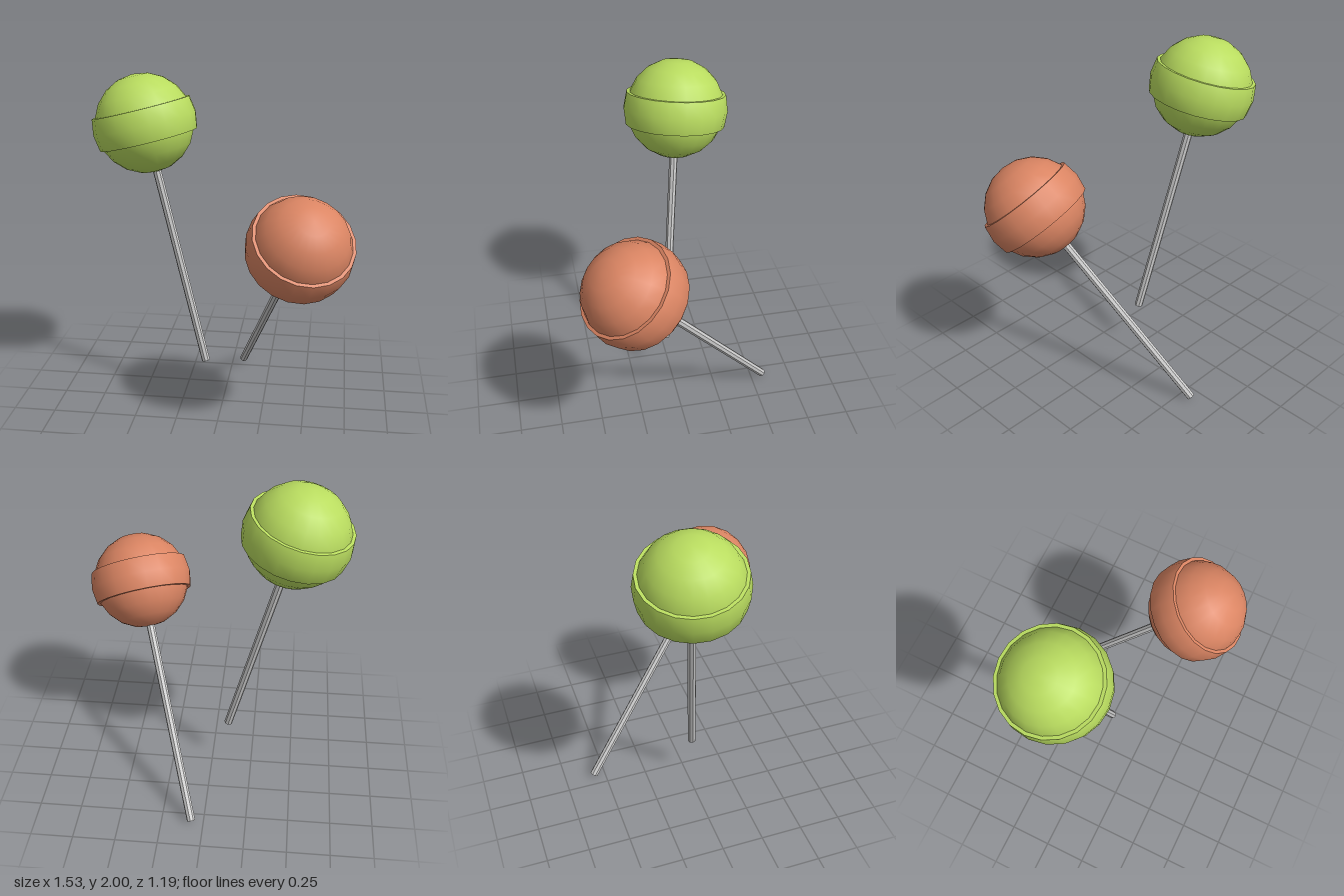
import * as THREE from 'three';

const SEGMENTS = 20;
const BALL_RADIUS = 0.287;
const BAND_RADIUS = 0.304;
const BAND_ANGLE = Math.PI / 10; // the band reaches this far above and below the equator
const STICK_LENGTH = 1.475; // from the ball's centre to the free end
const STICK_RADIUS = 0.025;

// Flat ring joining the ball to one rim of the band
function makeRim(material, side) {
  const rim = new THREE.Mesh(
    new THREE.RingGeometry(
      (BALL_RADIUS - 0.004) * Math.cos(BAND_ANGLE),
      BAND_RADIUS * Math.cos(BAND_ANGLE), SEGMENTS),
    material);
  rim.rotation.x = -side * Math.PI / 2;
  rim.position.y = side * BAND_RADIUS * Math.sin(BAND_ANGLE);
  rim.name = side > 0 ? 'upperBandRim' : 'lowerBandRim';
  return rim;
}

// A ball with a raised band on a stick, pointing from the stick's end to the ball
function makeLollipop(name, color, centre, stickEnd) {
  const lollipop = new THREE.Group();
  lollipop.name = name;
  const candy = new THREE.MeshStandardMaterial({ color });
  const grey = new THREE.MeshStandardMaterial({ color: 0xcccccc, flatShading: true });

  const ball = new THREE.Mesh(new THREE.SphereGeometry(BALL_RADIUS, SEGMENTS, 10), candy);
  ball.name = 'candyBall';

  // Band: a slice of a slightly larger sphere
  const band = new THREE.Mesh(
    new THREE.SphereGeometry(BAND_RADIUS, SEGMENTS, 2, 0, Math.PI * 2,
      Math.PI / 2 - BAND_ANGLE, BAND_ANGLE * 2),
    candy);
  band.name = 'candyBand';

  // Stick: starts just inside the ball
  const top = -BALL_RADIUS + 0.03;
  const length = STICK_LENGTH + top;
  const stick = new THREE.Mesh(
    new THREE.CylinderGeometry(STICK_RADIUS, STICK_RADIUS, length, 8), grey);
  stick.position.y = top - length / 2;
  stick.name = 'stick';

  lollipop.add(ball, band, makeRim(candy, 1), makeRim(candy, -1), stick);
  lollipop.position.copy(centre);
  const axis = centre.clone().sub(stickEnd).normalize();
  lollipop.quaternion.setFromUnitVectors(new THREE.Vector3(0, 1, 0), axis);
  return lollipop;
}

export function createModel() {
  const model = new THREE.Group();
  model.name = 'lollipops';
  model.add(
    makeLollipop('greenLollipop', 0xb9dc5f,
      new THREE.Vector3(-0.466, 1.715, -0.107), new THREE.Vector3(-0.1, 0.295, 0.03)),
    makeLollipop('orangeLollipop', 0xdb8563,
      new THREE.Vector3(0.462, 1.137, 0.308), new THREE.Vector3(0.07, 0.015, -0.575)));
  return model;
}
